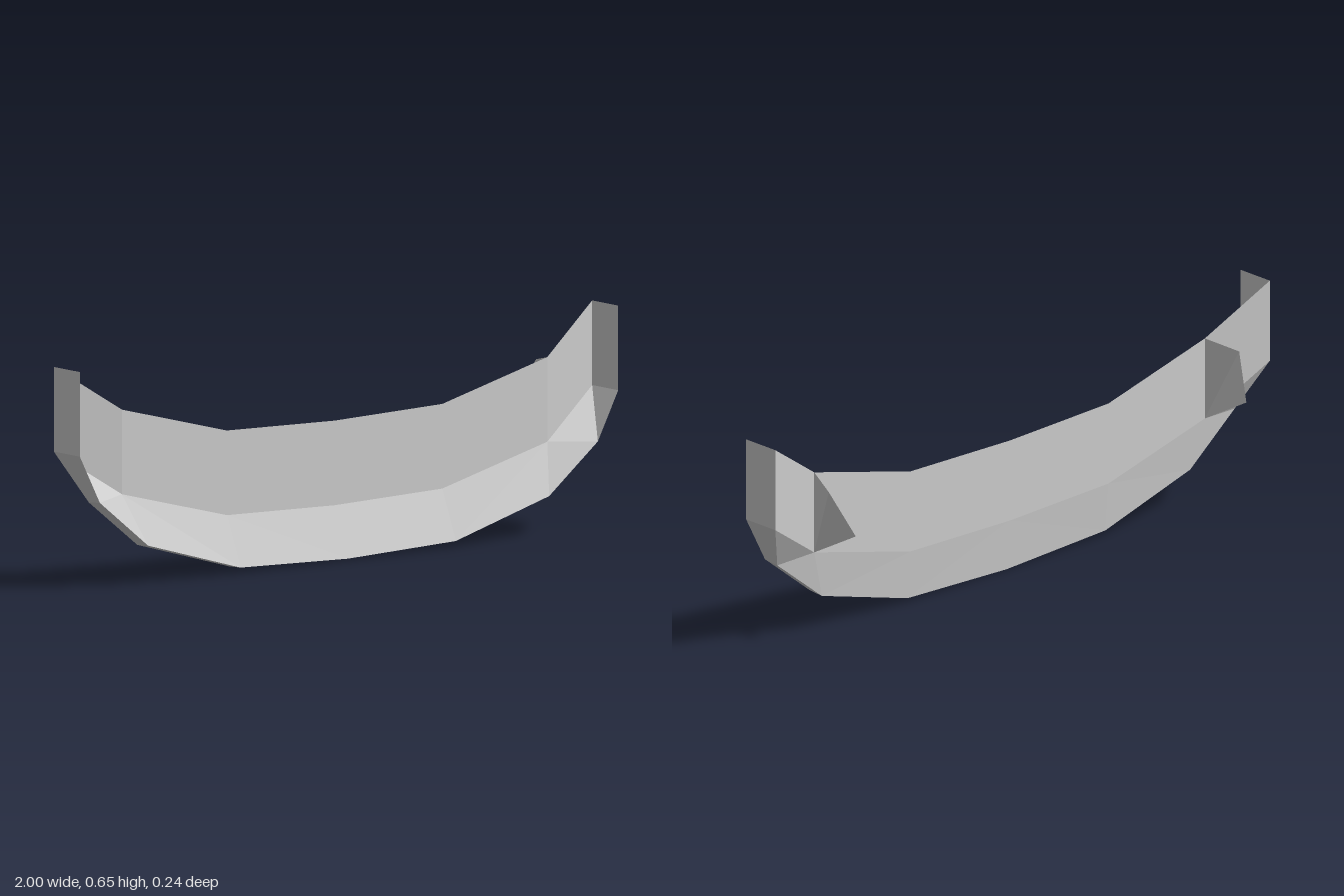
import * as THREE from 'three';

// Stations along the right half, from the centre outwards: [x, y, z]
const bandTop = [[0, 0.405, 0.055], [0.4, 0.415, 0.055], [0.79, 0.515, 0.055], [1, 0.655, 0]];
const bandLow = bandTop.map(([x, y, z]) => [x, y - 0.25, z]);
const lipFront = [[0, 0.005, 0.118], [0.4, 0.018, 0.119], [0.745, 0.117, 0.121], [0.925, 0.261, 0.122], [1, 0.405, 0.123]];
const lipBack = [[0, 0, 0.067], [0.4, 0.015, 0.068], [0.745, 0.113, 0.07], [0.925, 0.256, 0.07], [1, 0.405, 0]];

// Each face is a fan of corners, mirrored across x = 0
function facetedGeometry(faces, sides = [1, -1]) {
  const pos = [];
  for (const s of sides) {
    for (const f of faces) {
      for (let i = 1; i < f.length - 1; i++) {
        const tri = s > 0 ? [f[0], f[i], f[i + 1]] : [f[0], f[i + 1], f[i]];
        for (const [x, y, z] of tri) pos.push(x * s, y, z);
      }
    }
  }
  const g = new THREE.BufferGeometry();
  g.setAttribute('position', new THREE.Float32BufferAttribute(pos, 3));
  g.computeVertexNormals();
  return g;
}

// Quads between two rows of stations
function strip(a, b) {
  const faces = [];
  for (let i = 0; i < Math.min(a.length, b.length) - 1; i++) faces.push([a[i], a[i + 1], b[i + 1], b[i]]);
  return faces;
}

// Sloping lip wall from the band's lower edge to a lip edge, with a fanned corner
function lipWall(edge) {
  const [, , b2, b3] = bandLow;
  return [
    ...strip(edge.slice(0, 3), bandLow.slice(0, 3)),
    [edge[2], edge[3], b2],
    [edge[3], b3, b2],
  ];
}

const reversed = (faces) => faces.map((f) => [...f].reverse());

export function createModel() {
  const group = new THREE.Group();
  const grey = new THREE.MeshStandardMaterial({ color: 0xcccccc, side: THREE.DoubleSide, flatShading: true });
  grey.name = 'light grey';

  const add = (name, geometry) => {
    const mesh = new THREE.Mesh(geometry, grey);
    mesh.name = name;
    group.add(mesh);
  };

  // Upright curved sheet
  add('upperBand', facetedGeometry(strip(bandLow, bandTop)));

  // Lower lip: front slope, back slope and underside
  add('lipFront', facetedGeometry([...lipWall(lipFront), [lipFront[3], lipFront[4], lipBack[4]]]));
  add('lipBack', facetedGeometry(reversed(lipWall(lipBack))));
  add('lipUnderside', facetedGeometry(strip(lipBack, lipFront)));

  // End plates and rear mounting tabs, one of each per side
  const endPlate = [[1, 0.405, 0.123], [1, 0.405, 0], [1, 0.655, 0], [1, 0.655, 0.123]];
  const top = [0.79, 0.515, 0.055];
  const corner = [0.83, 0.492, -0.048];
  const tip = [0.79, 0.363, -0.12];
  const foot = [0.79, 0.265, 0.055];
  for (const [side, s] of [['left', 1], ['right', -1]]) {
    add(side + 'EndPlate', facetedGeometry([endPlate], [s]));
    add(side + 'RearTab', facetedGeometry([[foot, corner, top], [foot, tip, corner]], [s]));
  }
  return group;
}
